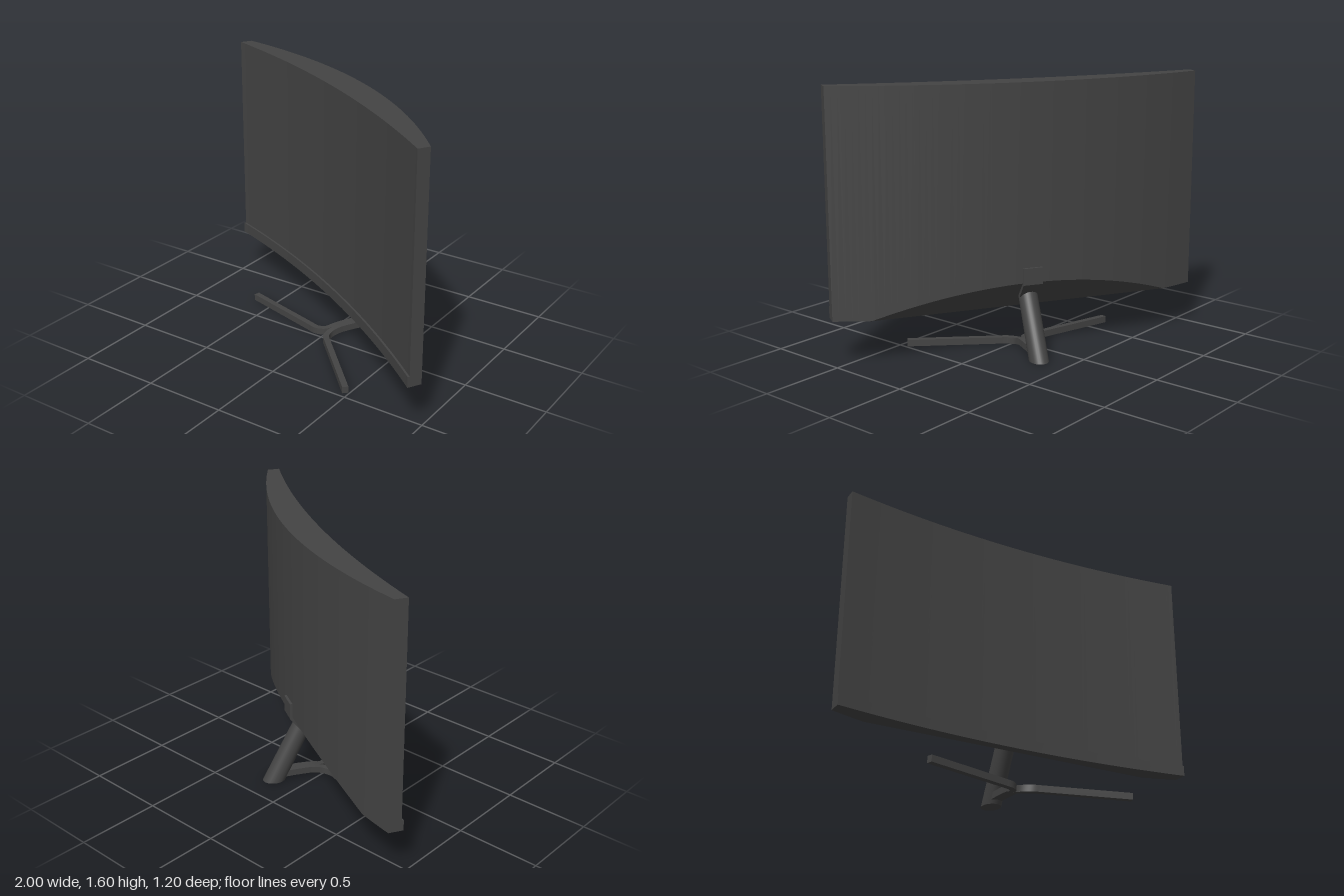
import * as THREE from 'three';
import { toCreasedNormals } from 'three/addons/utils/BufferGeometryUtils.js';

const material = new THREE.MeshStandardMaterial({ color: 0x444444 });
const HALF = 1.13, BOTTOM = 0.27, TOP = 1.6;

// Skin a series of equal-length rings of [x, y, z] points and cap both ends.
function skin(name, rings) {
  const pos = [];
  const tri = (...pts) => pts.forEach((p) => pos.push(...p));
  const n = rings[0].length;
  for (let i = 0; i < rings.length - 1; i++) {
    for (let j = 0; j < n; j++) {
      const k = (j + 1) % n;
      const a = rings[i][j], b = rings[i + 1][j], c = rings[i + 1][k], d = rings[i][k];
      tri(a, b, c);
      tri(a, c, d);
    }
  }
  const first = rings[0], last = rings[rings.length - 1];
  for (let j = 1; j < n - 1; j++) {
    tri(first[0], first[j], first[j + 1]);
    tri(last[0], last[j + 1], last[j]);
  }
  const geo = new THREE.BufferGeometry();
  geo.setAttribute('position', new THREE.Float32BufferAttribute(pos, 3));
  return mesh(name, toCreasedNormals(geo, 0.35));
}

function mesh(name, geo) {
  const m = new THREE.Mesh(geo, material);
  m.name = name;
  return m;
}

// Curved front and back of the display, by position across its width
const bow = (x) => 1 - (x / HALF) ** 2;
const screenZ = (x) => 0.028 - 0.095 * bow(x);
const backZ = (x) => -0.046 - 0.204 * bow(x);

function acrossWidth(section, steps = 64) {
  return Array.from({ length: steps + 1 }, (_, i) => {
    const x = HALF * (2 * i / steps - 1);
    return section(x).map(([y, z]) => [x, y, z]);
  });
}

// Slab whose lower back is cut by a sloping plane
function displayShell() {
  const cutZ = -0.115, slope = 1.26;
  return skin('displayShell', acrossWidth((x) => {
    const f = screenZ(x), b = backZ(x);
    return [
      [BOTTOM, f], [TOP, f], [TOP, b],
      [BOTTOM + Math.max(0, cutZ - b) * slope, b],
      [BOTTOM, Math.max(cutZ, b)],
    ];
  }));
}

// Raised strip under the screen
function chin() {
  return skin('chin', acrossWidth((x) => {
    const z = screenZ(x);
    return [[BOTTOM, z + 0.012], [0.335, z + 0.012], [0.335, z], [BOTTOM, z]];
  }));
}

// Bracket joining the back of the display to the column
function bracket() {
  const shape = new THREE.Shape([
    [0.16, 0.53], [0.265, 0.53], [0.265, 0.43], [0.2, 0.345], [0.15, 0.345],
  ].map(([x, y]) => new THREE.Vector2(x, y)));
  const geo = new THREE.ExtrudeGeometry(shape, { depth: 0.12, bevelEnabled: false });
  geo.translate(0, 0, -0.06).rotateY(Math.PI / 2);
  return mesh('bracket', geo);
}

// Leaning round column: level foot, slanted top
function column() {
  const ring = (y, z, depth, tilt) => Array.from({ length: 28 }, (_, i) => {
    const a = i / 28 * Math.PI * 2, dz = depth * Math.sin(a);
    return [0.057 * Math.cos(a), y - dz * tilt, z + dz];
  });
  return skin('column', [ring(0, -0.355, 0.07, 0), ring(0.365, -0.167, 0.04, 1.1)]);
}

// Flat bar that leaves the column, dips to the ground and bends outward
function leg(side) {
  const bend = new THREE.CatmullRomCurve3([
    [0.017, 0.043, -0.33], [0.017, 0.043, -0.2], [0.017, 0.038, -0.11],
    [0.026, 0.024, -0.045], [0.065, 0.02, -0.002], [0.12, 0.02, 0.015],
  ].map(([x, y, z]) => new THREE.Vector3(side * x, y, z)));
  const path = [...bend.getPoints(24), new THREE.Vector3(side * 0.645, 0.02, 0.158)];
  const up = new THREE.Vector3(0, 1, 0);
  return skin(side > 0 ? 'leftLeg' : 'rightLeg', path.map((p, i) => {
    const t = path[Math.min(i + 1, path.length - 1)].clone().sub(path[Math.max(i - 1, 0)]).setY(0);
    const s = t.normalize().cross(up).multiplyScalar(0.018);
    return [[1, -1], [1, 1], [-1, 1], [-1, -1]].map(
      ([h, v]) => [p.x + h * s.x, p.y + v * 0.02, p.z + h * s.z]);
  }));
}

export function createModel() {
  const model = new THREE.Group();
  model.name = 'curvedMonitor';
  const display = new THREE.Group();
  display.name = 'display';
  display.add(displayShell(), chin(), bracket());
  const stand = new THREE.Group();
  stand.name = 'stand';
  stand.add(column(), leg(1), leg(-1));
  // The whole monitor is turned on its stand
  const turned = new THREE.Group();
  turned.name = 'monitor';
  turned.rotation.y = -Math.PI / 6;
  turned.add(display, stand);
  model.add(turned);
  return model;
}
